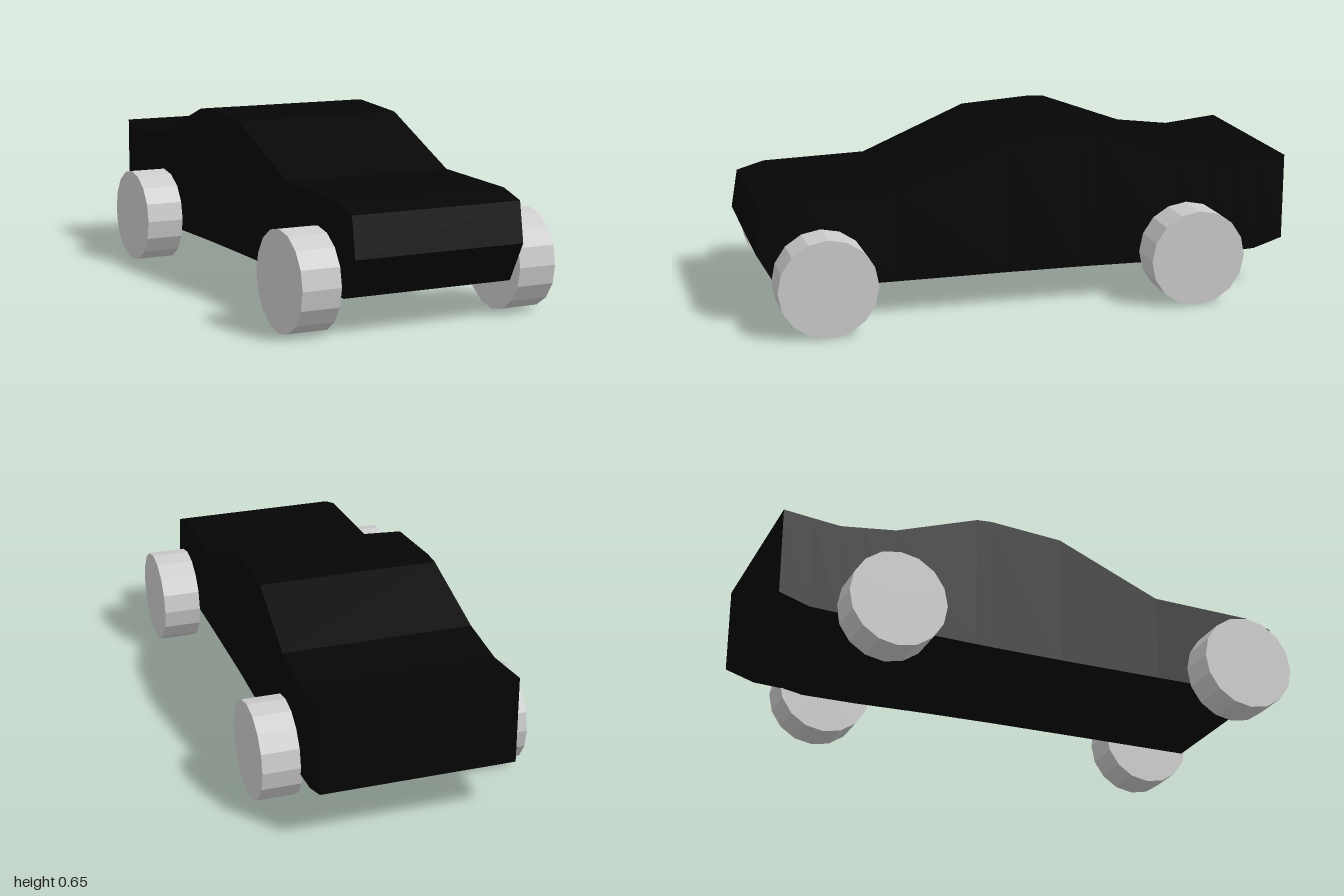
import * as THREE from 'three';

const bodyMaterial = new THREE.MeshStandardMaterial({ color: 0x050505, flatShading: true });
const wheelMaterial = new THREE.MeshStandardMaterial({ color: 0xcccccc, flatShading: true });

// Body cross-sections from nose to tail: [z, bottom, top, half width]
const SECTIONS = [
  [1.0, 0.28, 0.28, 0.325],
  [0.975, 0.235, 0.425, 0.325],
  [0.92, 0.135, 0.441, 0.325],
  [0.87, 0.135, 0.455, 0.325],
  [0.48, 0.135, 0.465, 0.325],
  [0.08, 0.135, 0.632, 0.327],
  [-0.2, 0.135, 0.648, 0.333],
  [-0.26, 0.135, 0.642, 0.336],
  [-0.58, 0.135, 0.522, 0.352],
  [-0.7, 0.135, 0.506, 0.353],
  [-0.79, 0.152, 0.494, 0.354],
  [-0.89, 0.157, 0.504, 0.354],
  [-1.0, 0.192, 0.515, 0.355],
];

// Rectangular loft through the cross-sections
function createBody() {
  const positions = [];
  const index = [];
  for (const [z, low, high, w] of SECTIONS) {
    positions.push(-w, low, z, w, low, z, w, high, z, -w, high, z);
  }
  const last = (SECTIONS.length - 1) * 4;
  for (let a = 0; a < last; a += 4) {
    for (let k = 0; k < 4; k++) {
      const p = a + k;
      const q = a + ((k + 1) % 4);
      index.push(p, p + 4, q, q, p + 4, q + 4);
    }
  }
  // Flat tail panel
  index.push(last, last + 2, last + 1, last, last + 3, last + 2);

  const geometry = new THREE.BufferGeometry();
  geometry.setAttribute('position', new THREE.Float32BufferAttribute(positions, 3));
  geometry.setIndex(index);
  geometry.computeVertexNormals();
  const body = new THREE.Mesh(geometry, bodyMaterial);
  body.name = 'body';
  return body;
}

export function createModel() {
  const model = new THREE.Group();
  model.name = 'car';
  model.add(createBody());

  // Four sixteen-sided wheels
  const wheelGeometry = new THREE.CylinderGeometry(0.18, 0.18, 0.145, 16).rotateZ(Math.PI / 2);
  for (const [end, z] of [['front', 0.77], ['rear', -0.61]]) {
    for (const [side, sign] of [['Left', 1], ['Right', -1]]) {
      const wheel = new THREE.Mesh(wheelGeometry, wheelMaterial);
      wheel.name = `${end}${side}Wheel`;
      wheel.position.set(sign * 0.42, 0.18, z);
      model.add(wheel);
    }
  }
  return model;
}
